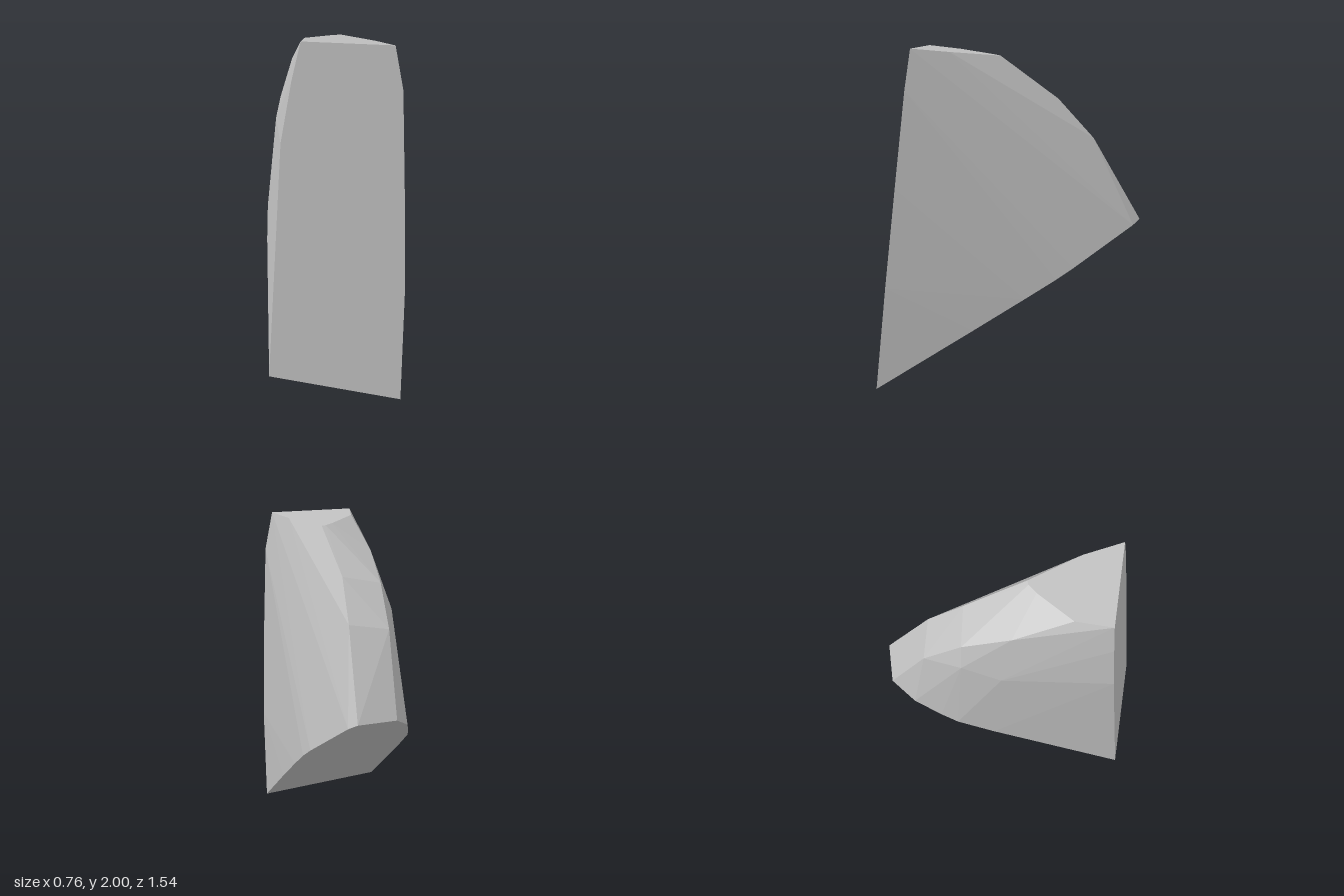
import * as THREE from 'three';
import { ConvexGeometry } from 'three/addons/geometries/ConvexGeometry.js';

// The three flat cuts of the stone, each giving the missing coordinate.
const onFront = (x, y) => new THREE.Vector3(x, y, 0.749 + 0.058 * x - 0.1147 * y);
const onBase = (x, z) => new THREE.Vector3(x, 0.515 - 0.6035 * z - 0.14 * x, z);
const onTop = (x, z) => new THREE.Vector3(x, 1.937 + 0.107 * z - 0.048 * x, z);

export function createModel() {
  const stone = new THREE.MeshStandardMaterial({ color: 0xc0c0c0 });
  stone.name = 'stone grey';

  // Outline of the broad front face
  const front = [
    [-0.378, 0.14], [0.362, 0], [0.378, 0.62], [0.37, 1.2], [0.355, 1.75],
    [0.312, 1.98], [-0.175, 2], [-0.225, 1.8], [-0.288, 1.47],
  ].map((p) => onFront(...p));

  // Rim of the slanted underside
  const base = [
    [0.3, 0.2], [0.262, -0.1], [0.235, -0.28], [0.205, -0.38], [0.05, -0.73],
    [0.005, -0.77], [-0.218, -0.72], [-0.31, -0.58], [-0.355, -0.42],
    [-0.376, -0.32], [-0.382, -0.1],
  ].map((p) => onBase(...p));

  // Rim of the small top face
  const top = [
    [-0.15, 0.31], [0, 0.11], [0.045, 0.064], [0.07, 0.055], [0.13, 0.16], [0.23, 0.33],
  ].map((p) => onTop(...p));

  // Facet corners of the rounded back and the right flank
  const back = [
    [0.005, 1.46, -0.49], [-0.218, 1.43, -0.49], [0.005, 1.69, -0.28],
    [-0.215, 1.65, -0.27], [-0.28, 1.5, -0.27], [-0.31, 1.43, -0.05],
    [-0.21, 1.8, 0],
  ].map((p) => new THREE.Vector3(...p));

  const chunk = new THREE.Mesh(new ConvexGeometry([...front, ...base, ...top, ...back]), stone);
  chunk.name = 'stoneChunk';

  const group = new THREE.Group();
  group.name = 'brokenStone';
  group.add(chunk);
  return group;
}
